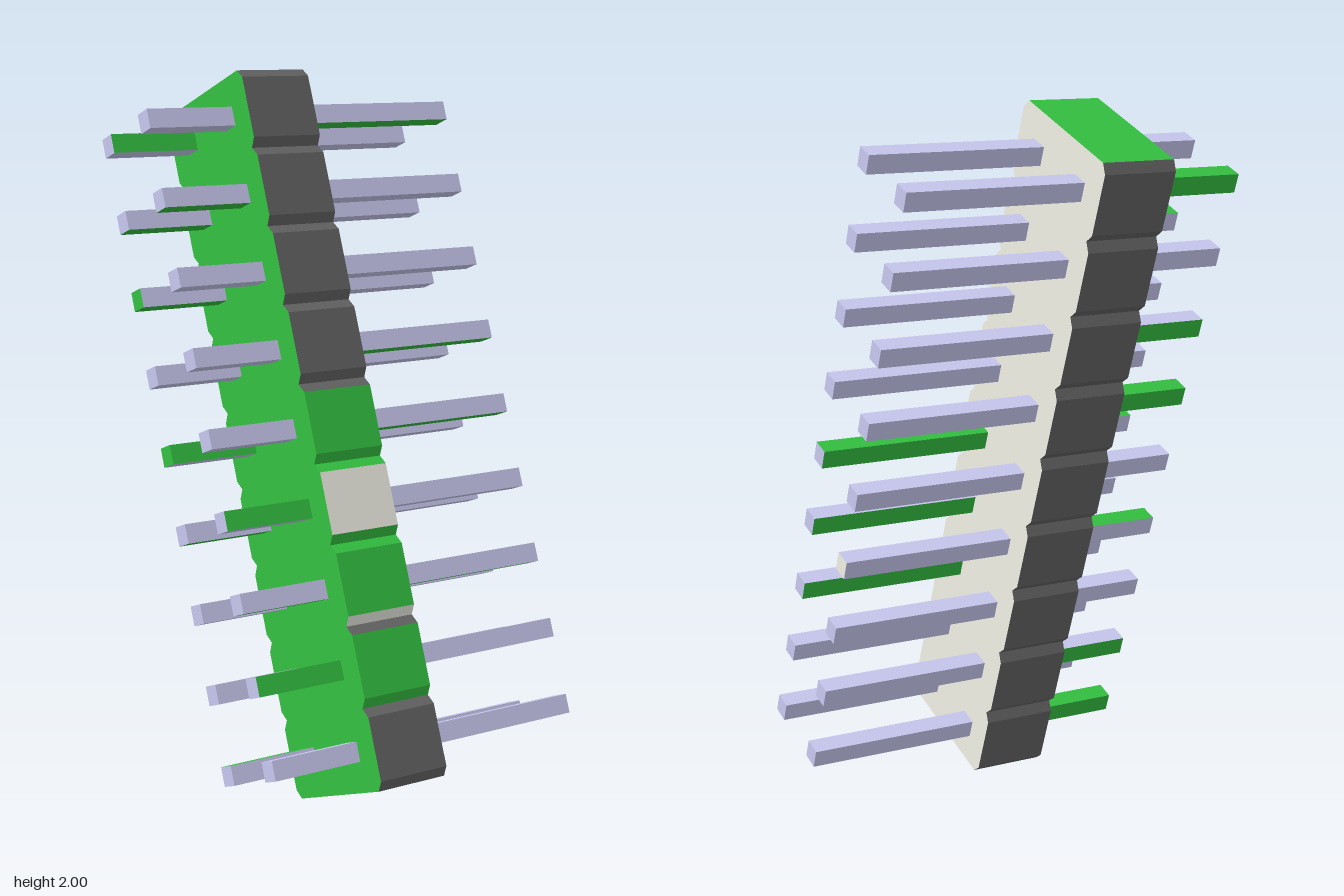
import * as THREE from 'three';

const TILT = THREE.MathUtils.degToRad(20.2);
const PITCH = 0.2207;              // spacing of pins and body segments
const COUNT = 9;
const XL = -0.23, XR = -0.015;     // body sides
const PIN_END = 0.497, PIN = 0.054;

const mat = (color) => new THREE.MeshStandardMaterial({ color, flatShading: true });
const green = mat(0x33c040), dark = mat(0x636363), cream = mat(0xf0f0e6), metal = mat(0xc8c8f0);

// Flat convex panel through the given corners, counter-clockwise from outside
function panel(points, material, name) {
  const pos = [];
  for (let i = 1; i < points.length - 1; i++) {
    for (const p of [points[0], points[i], points[i + 1]]) pos.push(...p);
  }
  const g = new THREE.BufferGeometry();
  g.setAttribute('position', new THREE.Float32BufferAttribute(pos, 3));
  g.computeVertexNormals();
  const mesh = new THREE.Mesh(g, material);
  mesh.name = name;
  return mesh;
}

// Front faces and their chamfers (lower, face, upper) that differ from dark
const frontColors = {
  4: [green, green, dark],
  5: [green, cream, green],
  6: [cream, green, green],
  7: [green, green, dark],
};

// One chamfered segment of the housing
function bodySegment(k) {
  const seg = new THREE.Group();
  seg.name = 'bodySegment';
  const a = 0.218, b = 0.198, p = PITCH / 2, q = p - 0.025;
  const outline = [[b, -p], [a, -q], [a, q], [b, p], [-b, p], [-a, q], [-a, -q], [-b, -p]];
  const at = (x) => outline.map(([z, y]) => [x, y, z]);
  const left = at(XL), right = at(XR);
  const front = frontColors[k] || [dark, dark, dark];
  const colors = [...front, green, dark, dark, dark, dark];
  for (let i = 0; i < 8; i++) {
    // only the outermost segments have end faces
    if ((i === 3 && k !== 0) || (i === 7 && k !== COUNT - 1)) continue;
    const j = (i + 1) % 8;
    const name = i === 3 ? 'topEnd' : i === 7 ? 'bottomEnd' : 'segmentFace';
    seg.add(panel([left[i], right[i], right[j], left[j]], colors[i], name));
  }
  seg.add(panel(left, green, 'rightSide'));
  seg.add(panel([...right].reverse(), cream, 'leftSide'));
  return seg;
}

// Green pin faces: F is the front row, B the back row, numbered from the top
const shortGreen = {
  top: 'B0 B3 B5 B8 F1 F4 F7',
  down: 'F1 B1 B2 B5 F6 B8',
  front: 'B0 B4 F5 F7',
  back: 'B0 B2 B3 B7 B8',
  end: 'B2 B4',
};
const longGreen = { top: 'F4', down: 'F0 F3 F4 F6', front: '', back: 'F4 F5 F6', end: '' };

// Pin half reaching from x0 to x1
function pinHalf(x0, x1, id, table, name) {
  const pick = (face) => (table[face].split(' ').includes(id) ? green : metal);
  const end = pick('end');
  const tip = name === 'longPin' && id === 'B5' ? cream : end;
  const mesh = new THREE.Mesh(
    new THREE.BoxGeometry(x1 - x0, PIN, PIN),
    [tip, end, pick('top'), pick('down'), pick('front'), pick('back')]
  );
  mesh.position.x = (x0 + x1) / 2;
  mesh.name = name;
  return mesh;
}

export function createModel() {
  const model = new THREE.Group();
  model.name = 'pinHeader';
  const tilted = new THREE.Group();
  tilted.name = 'tiltedHeader';
  tilted.position.y = 1;
  tilted.rotation.x = -TILT;
  model.add(tilted);

  for (let k = 0; k < COUNT; k++) {
    const y = ((COUNT - 1) / 2 - k) * PITCH;
    const seg = bodySegment(k);
    seg.position.y = y;
    tilted.add(seg);

    // Two pins through every segment
    for (const [row, side] of [['F', 1], ['B', -1]]) {
      const pin = new THREE.Group();
      pin.name = side > 0 ? 'frontRowPin' : 'backRowPin';
      pin.position.set(0, y, side * PITCH / 2);
      pin.add(pinHalf(-PIN_END, XL, row + k, shortGreen, 'shortPin'));
      pin.add(pinHalf(XR, PIN_END, row + k, longGreen, 'longPin'));
      tilted.add(pin);
    }
  }
  return model;
}
